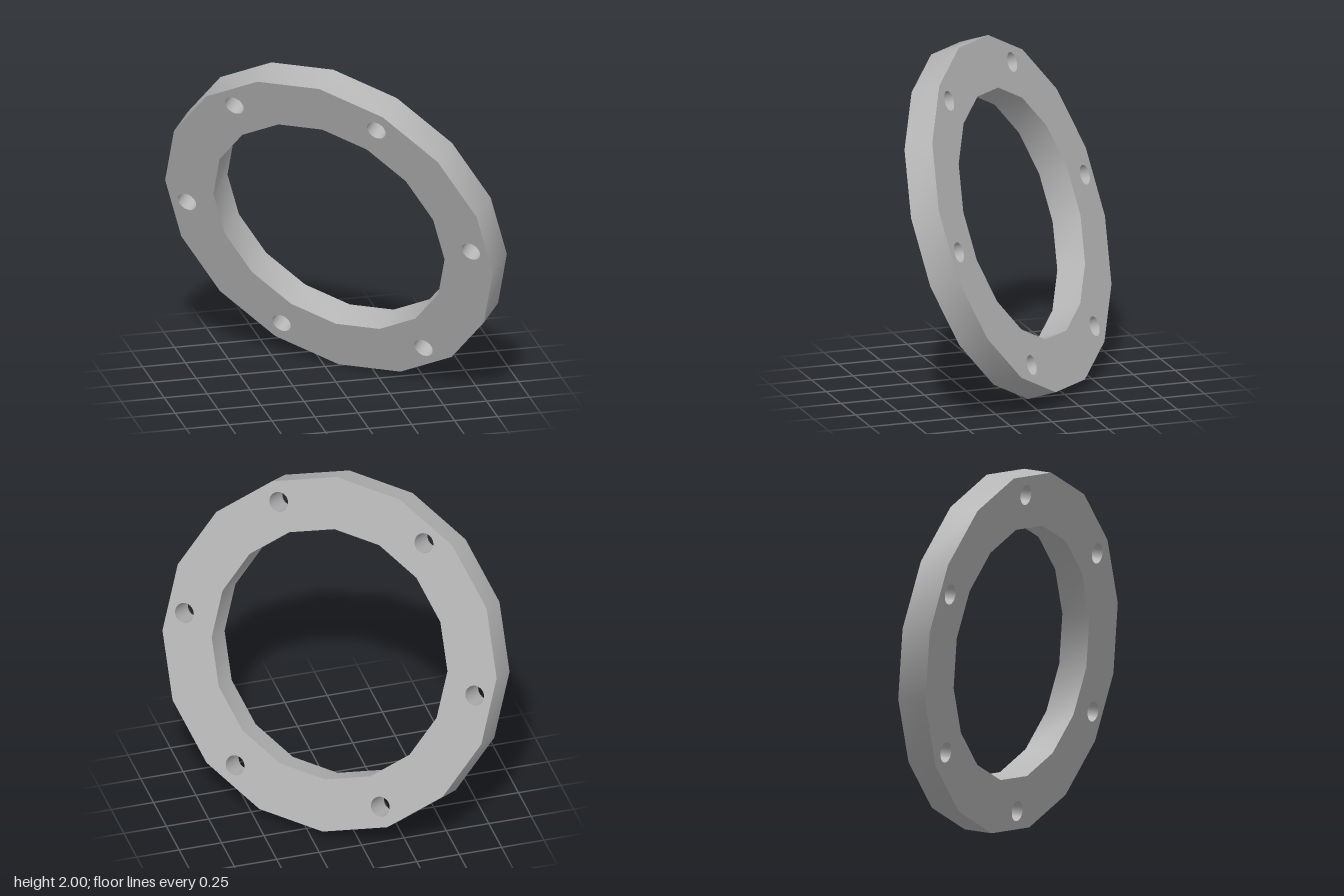
import * as THREE from 'three';
import { toCreasedNormals } from 'three/addons/utils/BufferGeometryUtils.js';

const OUTER = 1.032, INNER = 0.728, THICKNESS = 0.18;
const BOLT_CIRCLE = 0.909, BOLT_RADIUS = 0.058;

// Points of a regular polygon around (cx, cy)
function ringPoints(radius, sides, phase = 0, cx = 0, cy = 0) {
  return Array.from({ length: sides }, (_, i) => {
    const a = phase + (i / sides) * Math.PI * 2;
    return new THREE.Vector2(cx + radius * Math.cos(a), cy + radius * Math.sin(a));
  });
}

export function createModel() {
  const model = new THREE.Group();
  const metal = new THREE.MeshStandardMaterial({ color: 0xb4b4b4 });
  metal.name = 'grey metal';

  // Sixteen-sided ring outline with the matching central opening
  const phase = THREE.MathUtils.degToRad(15);
  const outline = new THREE.Shape(ringPoints(OUTER, 16, phase));
  outline.holes.push(new THREE.Path(ringPoints(INNER, 16, phase)));

  // Six round bolt holes
  for (const c of ringPoints(BOLT_CIRCLE, 6)) {
    outline.holes.push(new THREE.Path(ringPoints(BOLT_RADIUS, 24, 0, c.x, c.y)));
  }

  const plate = new THREE.ExtrudeGeometry(outline, { depth: THICKNESS, bevelEnabled: false });
  plate.translate(0, 0, -THICKNESS / 2);
  const ring = new THREE.Mesh(toCreasedNormals(plate, 0.6), metal);
  ring.name = 'flangeRing';

  // Tilt of the ring: first bolt direction and face normal
  const normal = new THREE.Vector3(-0.6335, -0.328, 0.7007).normalize();
  const across = new THREE.Vector3(0.738, 0.017, 0.675).projectOnPlane(normal).normalize();
  const up = new THREE.Vector3().crossVectors(normal, across);
  ring.quaternion.setFromRotationMatrix(new THREE.Matrix4().makeBasis(across, up, normal));
  ring.position.y = 1;

  model.add(ring);
  return model;
}
